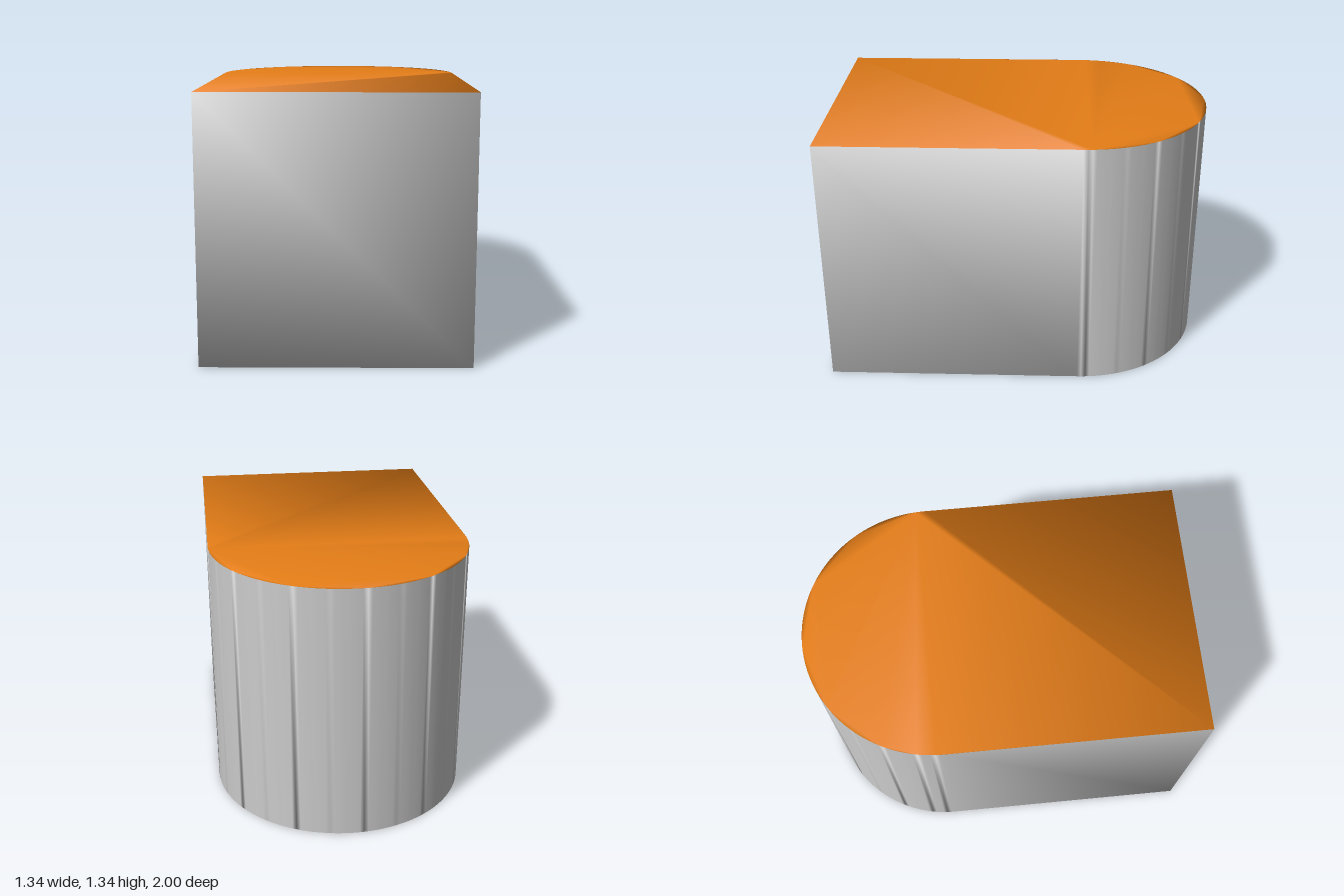
import * as THREE from 'three';
import { mergeVertices } from 'three/addons/utils/BufferGeometryUtils.js';

const RADIUS = 0.67, HEIGHT = 1.34, FRONT = 1, ARC_Z = -0.33;

export function createModel() {
  const model = new THREE.Group();
  model.name = 'roundedBackBlock';

  // Plan outline: square front, half-round back (shape y becomes -z)
  const outline = new THREE.Shape();
  outline.moveTo(-RADIUS, -FRONT);
  outline.lineTo(RADIUS, -FRONT);
  outline.lineTo(RADIUS, -ARC_Z);
  outline.absarc(0, -ARC_Z, RADIUS, 0, Math.PI, false);
  outline.closePath();

  let solid = new THREE.ExtrudeGeometry(outline, { depth: HEIGHT, bevelEnabled: false, curveSegments: 48 });
  solid.rotateX(-Math.PI / 2);

  // Weld everything so the shading runs softly over the rims
  solid.deleteAttribute('normal');
  solid.deleteAttribute('uv');
  solid = mergeVertices(solid, 1e-4);
  solid.computeVertexNormals();

  // Split the welded solid into bottom, top and wall, keeping shared normals
  const index = Array.from(solid.index.array);
  const position = solid.attributes.position;
  const faces = { bottomFace: [], topFace: [], wall: [] };
  for (let i = 0; i < index.length; i += 3) {
    const tri = index.slice(i, i + 3);
    const ys = tri.map((v) => position.getY(v));
    const part = Math.max(...ys) < 0.01 ? 'bottomFace' : Math.min(...ys) > HEIGHT - 0.01 ? 'topFace' : 'wall';
    faces[part].push(...tri);
  }

  const colors = { bottomFace: 0xd4a02e, topFace: 0xe67e17, wall: 0xcccccc };
  for (const [name, indices] of Object.entries(faces)) {
    const geometry = new THREE.BufferGeometry();
    geometry.setAttribute('position', position.clone());
    geometry.setAttribute('normal', solid.attributes.normal.clone());
    geometry.setIndex(indices);
    const mesh = new THREE.Mesh(geometry, new THREE.MeshStandardMaterial({ color: colors[name] }));
    mesh.name = name;
    model.add(mesh);
  }
  return model;
}
